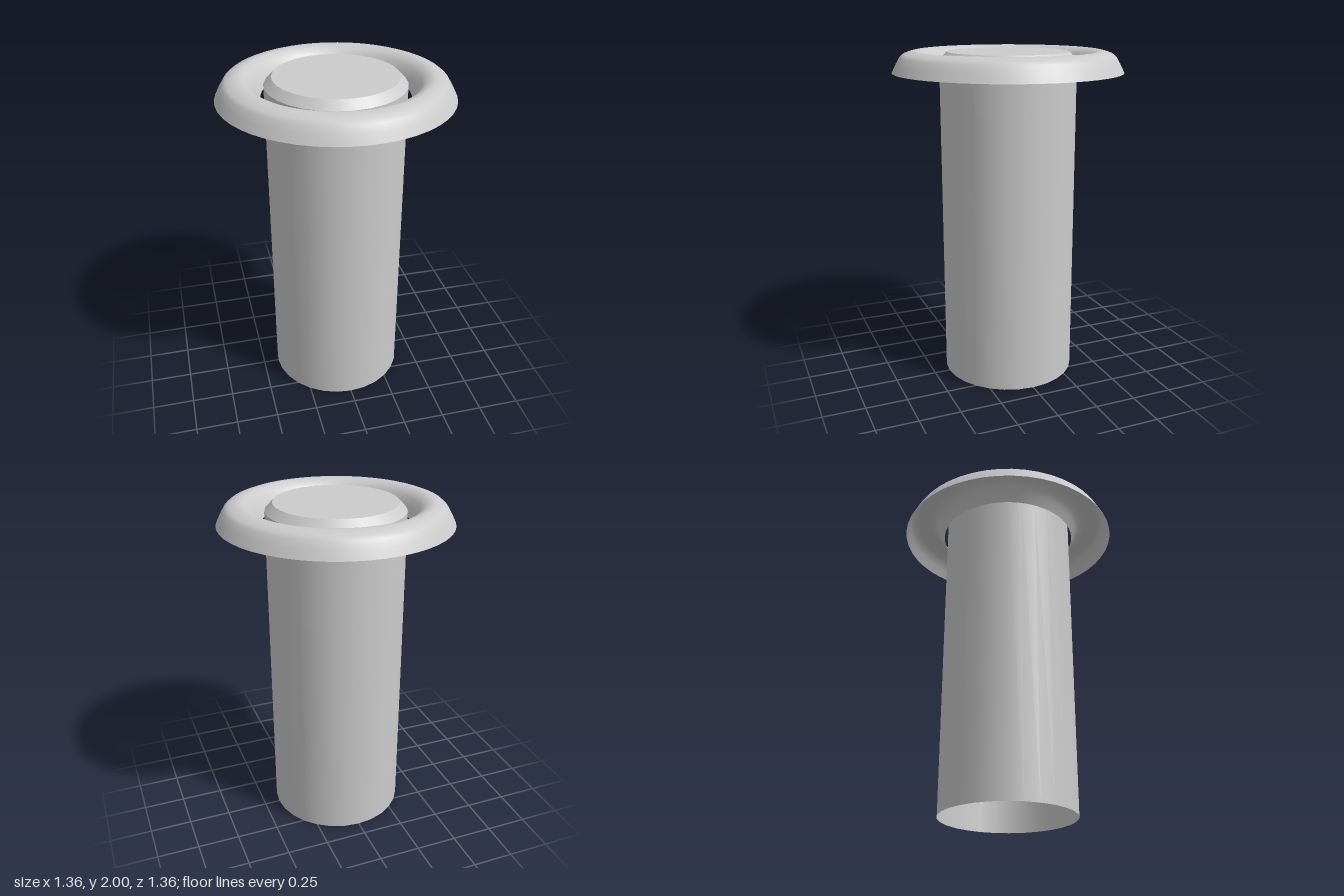
import * as THREE from 'three';

const material = new THREE.MeshStandardMaterial({ color: 0xcccccc, side: THREE.DoubleSide });

// Surface of revolution from [radius, height] pairs
function turned(name, points, sides) {
  const profile = points.map(([r, y]) => new THREE.Vector2(r, y));
  const mesh = new THREE.Mesh(new THREE.LatheGeometry(profile, sides), material);
  mesh.name = name;
  return mesh;
}

export function createModel() {
  const group = new THREE.Group();
  group.name = 'postWithCollar';

  // Post: tube open at the bottom, with a bevelled, closed top
  const post = new THREE.Group();
  post.name = 'post';
  const r = 0.405, capR = 0.36, shoulder = 1.945, top = 1.993, sides = 28;
  post.add(
    turned('postWall', [[r, 0], [r, shoulder]], sides),
    turned('postBevel', [[r, shoulder], [capR, top]], sides),
    turned('postCap', [[capR, top], [0, top]], sides)
  );
  group.add(post);

  // Collar: thin rounded shell, open underneath, with a gap around the post
  group.add(turned('collar', [
    [0.68, 1.875], [0.655, 1.925], [0.632, 1.965], [0.612, 1.982], [0.58, 1.994],
    [0.55, 2.0], [0.525, 1.996], [0.498, 1.983], [0.475, 1.962], [0.45, 1.925], [0.425, 1.875],
  ], 48));

  return group;
}
